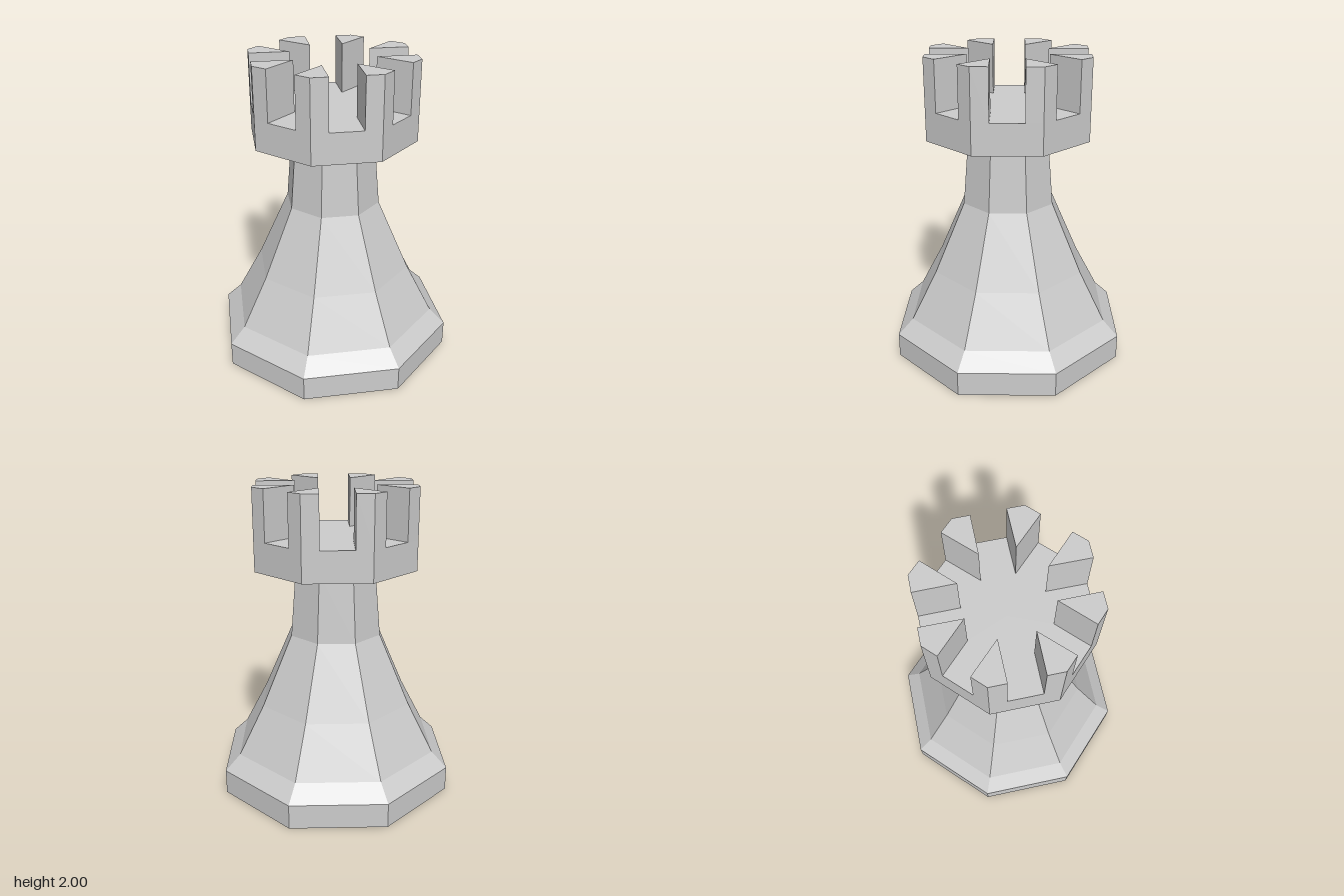
import * as THREE from 'three';

const SIDES = 8;

export function createModel() {
  const model = new THREE.Group();
  model.name = 'chessTower';
  const material = new THREE.MeshStandardMaterial({ color: 0xcccccc, flatShading: true });

  // Eight-sided turned part from [radius, height] points, listed bottom to top
  const turned = (name, profile) => {
    const points = profile.map(([r, y]) => new THREE.Vector2(r, y));
    const mesh = new THREE.Mesh(new THREE.LatheGeometry(points, SIDES), material);
    mesh.name = name;
    model.add(mesh);
  };

  // Foot with bevelled rim
  turned('base', [[0, 0], [0.793, 0], [0.793, 0.16], [0.69, 0.26]]);

  // Flared shaft narrowing to the neck
  turned('shaft', [[0.69, 0.26], [0.517, 0.58], [0.31, 1.04], [0.272, 1.485]]);

  // Solid head with a flat floor between the battlements
  turned('head', [[0.272, 1.485], [0.543, 1.485], [0.543, 1.68], [0, 1.68]]);

  // Kite-shaped battlements, one on each corner of the head
  const kite = new THREE.Shape([
    new THREE.Vector2(0.272, 0),
    new THREE.Vector2(0.503, -0.097),
    new THREE.Vector2(0.543, 0),
    new THREE.Vector2(0.503, 0.097),
  ]);
  const merlonGeometry = new THREE.ExtrudeGeometry(kite, { depth: 0.32, bevelEnabled: false });
  merlonGeometry.rotateX(-Math.PI / 2);

  const battlements = new THREE.Group();
  battlements.name = 'battlements';
  for (let i = 0; i < SIDES; i++) {
    const merlon = new THREE.Mesh(merlonGeometry, material);
    merlon.name = `merlon${i + 1}`;
    merlon.position.y = 1.68;
    merlon.rotation.y = (i / SIDES) * Math.PI * 2;
    battlements.add(merlon);
  }
  model.add(battlements);

  return model;
}
